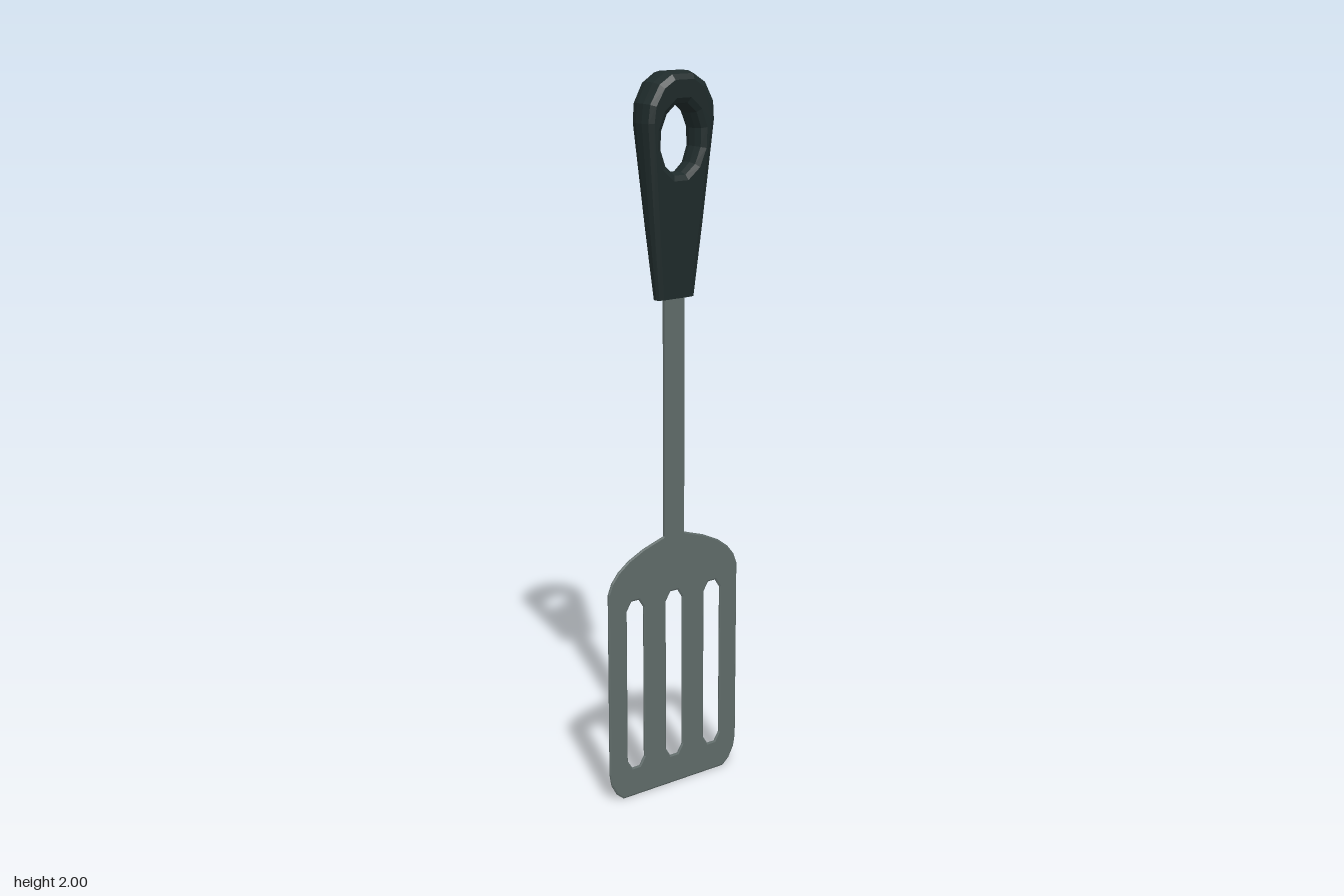
import * as THREE from 'three';

const v = (pts) => pts.map(([x, y]) => new THREE.Vector2(x, y));

// Closed outline mirrored in x; points run up the right side from the bottom
const mirrored = (pts) => v([...pts, ...pts.slice().reverse().map(([x, y]) => [-x, y])]);

// Slot with chamfered ends
function slot(cx, y0, y1, w) {
  const c = 0.013, e = 0.025;
  return new THREE.Path(v([
    [cx - c, y0], [cx - w, y0 + e], [cx - w, y1 - e], [cx - c, y1],
    [cx + c, y1], [cx + w, y1 - e], [cx + w, y0 + e], [cx + c, y0],
  ]));
}

export function createModel() {
  const group = new THREE.Group();
  const steel = new THREE.MeshStandardMaterial({ color: 0x5f6b69 });
  steel.name = 'grey steel';
  const grip = new THREE.MeshStandardMaterial({ color: 0x1f2b2b });
  grip.name = 'dark grip';

  const add = (name, geometry, material) => {
    const mesh = new THREE.Mesh(geometry, material);
    mesh.name = name;
    group.add(mesh);
  };

  // Thin slotted blade with rounded shoulders
  const blade = new THREE.Shape(mirrored([
    [0.178, 0], [0.2, 0.018], [0.218, 0.05], [0.224, 0.085], [0.224, 0.615],
    [0.212, 0.645], [0.19, 0.672], [0.155, 0.698], [0.105, 0.722], [0.034, 0.745],
  ]));
  for (const x of [-0.134, 0, 0.134]) blade.holes.push(slot(x, 0.085, 0.58, 0.029));
  const bladeGeo = new THREE.ExtrudeGeometry(blade, {
    depth: 0.003, bevelThickness: 0.002, bevelSize: 0.004, bevelOffset: -0.004, bevelSegments: 1,
  });
  bladeGeo.translate(0, 0, -0.0015);
  add('blade', bladeGeo, steel);

  // Flat shaft between blade and handle
  const shaftGeo = new THREE.BoxGeometry(0.068, 0.72, 0.007);
  shaftGeo.translate(0, 1.095, 0);
  add('shaft', shaftGeo, steel);

  // Handle: bevelled outline with a hanging hole
  const handle = new THREE.Shape(mirrored([
    [0.062, 1.405], [0.085, 1.6], [0.113, 1.87], [0.108, 1.92], [0.078, 1.972], [0.036, 1.998],
  ]));
  const hole = [];
  for (let i = 0; i < 12; i++) {
    const a = -(i + 0.5) / 12 * Math.PI * 2;
    hole.push([0.062 * Math.cos(a), 1.825 + 0.09 * Math.sin(a)]);
  }
  handle.holes.push(new THREE.Path(v(hole)));
  const handleGeo = new THREE.ExtrudeGeometry(handle, {
    depth: 0.6, bevelThickness: 0.7, bevelSize: 0.02, bevelOffset: -0.02, bevelSegments: 2,
  });
  handleGeo.translate(0, 0, -0.3);
  // Thicken toward the top and square off the lower end
  const p = handleGeo.attributes.position;
  for (let i = 0; i < p.count; i++) {
    const y = p.getY(i) < 1.44 ? 1.405 : p.getY(i);
    p.setXYZ(i, p.getX(i), y, p.getZ(i) * (0.016 + (y - 1.405) * 0.055));
  }
  handleGeo.computeVertexNormals();
  add('handle', handleGeo, grip);

  return group;
}
